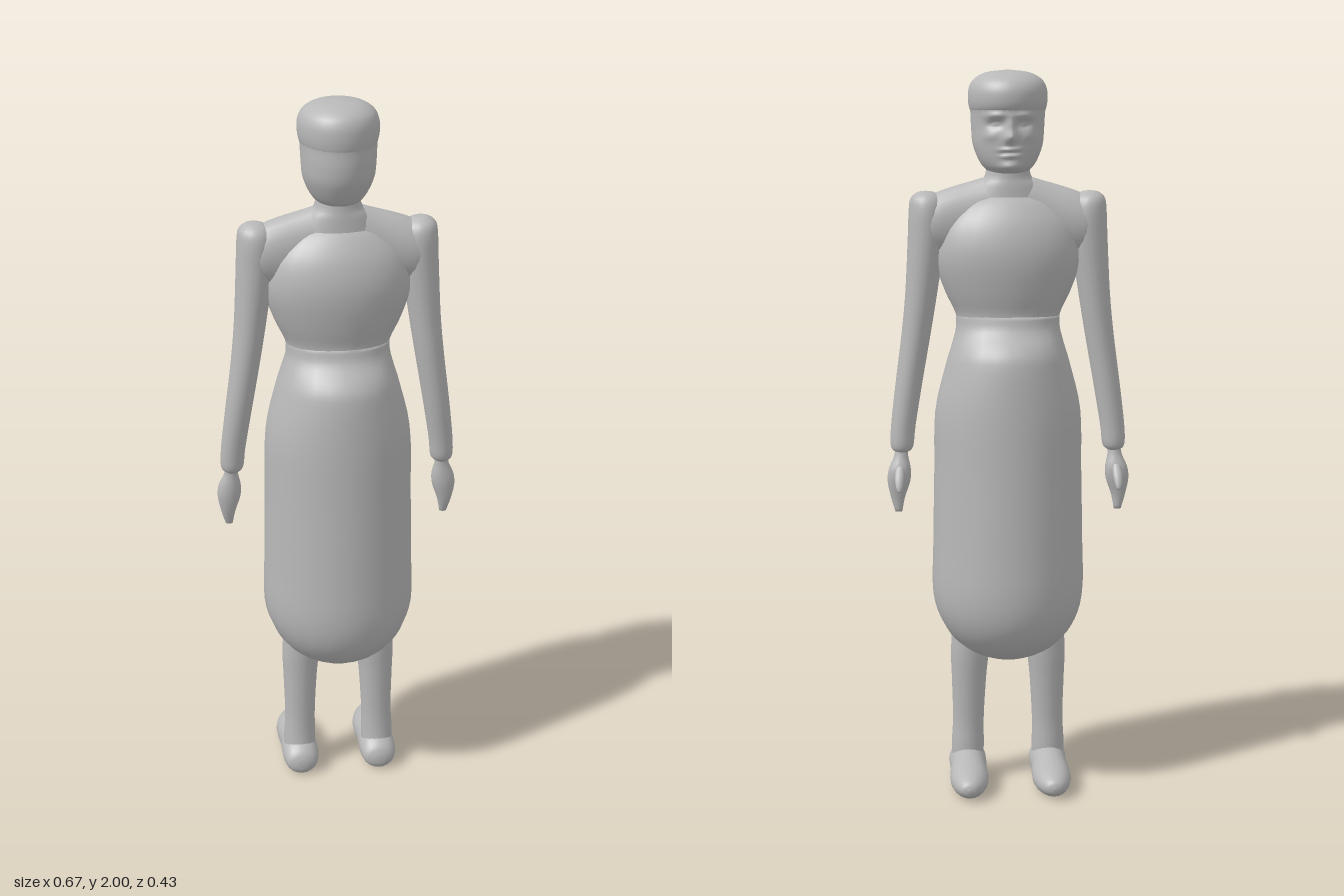
import * as THREE from 'three';

const grey = new THREE.MeshStandardMaterial({ color: 0xb8b8b8 });
grey.name = 'plain grey';

// Smooth loft of ellipses along an axis; section = [t, centreU, centreV, radiusU, radiusV], t increasing.
// (u, v) is (z, x) along y, (y, z) along x and (x, y) along z.
function loft(sections, axis = 'y', sides = 24, steps = 4) {
  const centres = new THREE.CatmullRomCurve3(sections.map(([t, u, v]) => new THREE.Vector3(u, v, t)), false, 'catmullrom');
  const radii = new THREE.CatmullRomCurve3(sections.map((s) => new THREE.Vector3(s[3], s[4], 0)), false, 'catmullrom');
  const rows = (sections.length - 1) * steps;
  const pos = [];
  const index = [];
  const put = (u, v, t) => {
    if (axis === 'y') pos.push(v, t, u);
    else if (axis === 'x') pos.push(t, u, v);
    else pos.push(u, v, t);
  };
  for (let i = 0; i <= rows; i++) {
    const c = centres.getPoint(i / rows);
    const r = radii.getPoint(i / rows);
    for (let j = 0; j < sides; j++) {
      const a = (j / sides) * Math.PI * 2;
      put(c.x + Math.max(r.x, 0.001) * Math.cos(a), c.y + Math.max(r.y, 0.001) * Math.sin(a), c.z);
    }
  }
  for (let i = 0; i < rows; i++) {
    for (let j = 0; j < sides; j++) {
      const a = i * sides + j;
      const b = i * sides + (j + 1) % sides;
      index.push(a, b, b + sides, a, b + sides, a + sides);
    }
  }
  // End caps
  for (let j = 1; j < sides - 1; j++) {
    const e = rows * sides;
    index.push(0, j + 1, j, e, e + j, e + j + 1);
  }
  const g = new THREE.BufferGeometry();
  g.setAttribute('position', new THREE.Float32BufferAttribute(pos, 3));
  g.setIndex(index);
  g.computeVertexNormals();
  return g;
}

// Pushes the face in or out: [x, y, widthX, widthY, amount]
const faceBumps = [
  [0, 1.822, 0.013, 0.015, 0.03], [0, 1.85, 0.01, 0.022, 0.014],
  [0.04, 1.88, 0.028, 0.009, 0.008], [-0.04, 1.88, 0.028, 0.009, 0.008],
  [0.038, 1.856, 0.02, 0.011, -0.014], [-0.038, 1.856, 0.02, 0.011, -0.014],
  [0.038, 1.856, 0.009, 0.005, 0.008], [-0.038, 1.856, 0.009, 0.005, 0.008],
  [0.055, 1.825, 0.02, 0.014, 0.006], [-0.055, 1.825, 0.02, 0.014, 0.006],
  [0, 1.79, 0.024, 0.005, 0.01], [0, 1.772, 0.02, 0.005, 0.009],
  [0, 1.781, 0.024, 0.003, -0.006], [0, 1.742, 0.03, 0.014, 0.014],
];

function sculptFace(g) {
  const p = g.attributes.position;
  for (let i = 0; i < p.count; i++) {
    const x = p.getX(i), y = p.getY(i), z = p.getZ(i);
    if (z > -0.02) continue;
    let push = 0;
    for (const [bx, by, wx, wy, h] of faceBumps) {
      push += h * Math.exp(-(((x - bx) / wx) ** 2) - ((y - by) / wy) ** 2);
    }
    p.setZ(i, z - push);
  }
  g.computeVertexNormals();
  return g;
}

export function createModel() {
  const model = new THREE.Group();
  model.name = 'figure';
  const add = (name, geometry) => {
    const m = new THREE.Mesh(geometry, grey);
    m.name = name;
    model.add(m);
  };

  // Long rounded skirt and waist
  add('skirt', loft([
    [0.36, 0, 0, 0.002, 0.002], [0.365, 0, 0, 0.06, 0.06], [0.4, 0, 0, 0.135, 0.13], [0.46, 0, 0, 0.19, 0.182],
    [0.55, 0, 0, 0.214, 0.211], [0.7, 0, 0, 0.21, 0.21], [0.9, 0, 0, 0.2, 0.206], [1.07, 0, 0, 0.192, 0.202],
    [1.2, 0, 0, 0.18, 0.172], [1.25, 0, 0, 0.162, 0.157], [1.3, 0, 0, 0.118, 0.144], [1.34, 0, 0, 0.105, 0.143],
  ]));
  // Chest
  add('bodice', loft([
    [1.3, 0, 0, 0.115, 0.142], [1.34, 0, 0, 0.105, 0.144], [1.4, 0, 0, 0.118, 0.172], [1.47, 0, 0, 0.129, 0.196],
    [1.53, 0, 0, 0.128, 0.198], [1.59, 0, 0, 0.112, 0.178], [1.64, 0, 0, 0.082, 0.13], [1.67, 0, 0, 0.05, 0.075],
  ]));
  // Sloping shoulders
  add('shoulders', loft([
    [-0.25, 1.585, 0, 0.05, 0.045], [-0.2, 1.585, 0, 0.085, 0.06], [-0.1, 1.6, 0, 0.102, 0.058],
    [0, 1.615, 0, 0.11, 0.06],
    [0.1, 1.6, 0, 0.102, 0.058], [0.2, 1.585, 0, 0.085, 0.06], [0.25, 1.585, 0, 0.05, 0.045],
  ], 'x'));
  add('neck', loft([
    [1.64, 0.003, 0, 0.065, 0.11], [1.69, 0.003, 0, 0.061, 0.085], [1.72, 0.003, 0, 0.057, 0.062], [1.79, 0, 0, 0.055, 0.055],
  ]));

  // Head with a sculpted face
  add('head', sculptFace(loft([
    [1.722, 0, 0, 0.045, 0.04], [1.735, 0.002, 0, 0.082, 0.062], [1.76, 0.005, 0, 0.1, 0.08],
    [1.8, 0.012, 0, 0.112, 0.095], [1.84, 0.015, 0, 0.115, 0.099], [1.88, 0.013, 0, 0.116, 0.101],
    [1.91, 0.01, 0, 0.117, 0.102], [1.95, 0.01, 0, 0.1, 0.09],
  ], 'y', 72, 10)));
  // Close cap of hair, stepping out over the brow
  add('hair', loft([
    [1.885, 0.016, 0, 0.112, 0.098], [1.897, 0.011, 0, 0.12, 0.104], [1.92, 0.009, 0, 0.124, 0.108],
    [1.95, 0.009, 0, 0.121, 0.106], [1.975, 0.011, 0, 0.104, 0.092], [1.993, 0.013, 0, 0.065, 0.058], [2, 0.014, 0, 0.002, 0.002],
  ], 'y', 36));

  for (const s of [1, -1]) {
    const side = s > 0 ? 'left' : 'right';
    // Tapering arm, shoulder cap to cuff
    add(side + 'Arm', loft([
      [0.955, -0.008, s * 0.296, 0.018, 0.016], [0.972, -0.007, s * 0.295, 0.032, 0.031], [1.03, -0.004, s * 0.291, 0.036, 0.034],
      [1.15, 0.002, s * 0.274, 0.043, 0.037], [1.28, 0.004, s * 0.254, 0.048, 0.04], [1.4, 0.002, s * 0.238, 0.052, 0.044],
      [1.55, 0, s * 0.223, 0.058, 0.051], [1.62, 0, s * 0.22, 0.058, 0.051],
      [1.655, 0, s * 0.222, 0.048, 0.044], [1.672, 0, s * 0.224, 0.024, 0.024], [1.676, 0, s * 0.224, 0.002, 0.002],
    ], 'y', 20));
    // Hand with pointed fingers and a thumb
    add(side + 'Hand', loft([
      [0.79, -0.022, s * 0.306, 0.008, 0.01], [0.83, -0.018, s * 0.308, 0.016, 0.02], [0.875, -0.018, s * 0.305, 0.024, 0.032],
      [0.91, -0.018, s * 0.302, 0.025, 0.031], [0.945, -0.013, s * 0.298, 0.018, 0.02], [0.98, -0.008, s * 0.296, 0.016, 0.017],
    ], 'y', 14));
    add(side + 'Thumb', loft([
      [0.855, -0.073, s * 0.304, 0.004, 0.006], [0.87, -0.063, s * 0.304, 0.011, 0.011],
      [0.895, -0.046, s * 0.303, 0.015, 0.014], [0.93, -0.022, s * 0.3, 0.01, 0.01],
    ], 'y', 12));
    // Leg
    add(side + 'Leg', loft([
      [0.03, 0.015, s * 0.115, 0.05, 0.045], [0.1, 0.008, s * 0.115, 0.045, 0.046], [0.18, 0.006, s * 0.113, 0.042, 0.044],
      [0.3, 0.002, s * 0.111, 0.047, 0.049], [0.38, 0, s * 0.108, 0.052, 0.054], [0.5, 0, s * 0.1, 0.055, 0.055],
    ], 'y', 20));
    // Foot with a flattened sole
    const foot = loft([
      [-0.214, s * 0.118, 0.035, 0.004, 0.004], [-0.206, s * 0.118, 0.035, 0.024, 0.02], [-0.175, s * 0.117, 0.034, 0.042, 0.034],
      [-0.12, s * 0.116, 0.036, 0.054, 0.045], [-0.04, s * 0.115, 0.042, 0.051, 0.052], [0.03, s * 0.115, 0.045, 0.053, 0.052],
      [0.07, s * 0.115, 0.038, 0.044, 0.038], [0.084, s * 0.115, 0.034, 0.022, 0.02], [0.087, s * 0.115, 0.034, 0.002, 0.002],
    ], 'z', 20);
    const p = foot.attributes.position;
    for (let i = 0; i < p.count; i++) p.setY(i, Math.max(p.getY(i), 0));
    foot.computeVertexNormals();
    add(side + 'Foot', foot);
  }
  return model;
}
